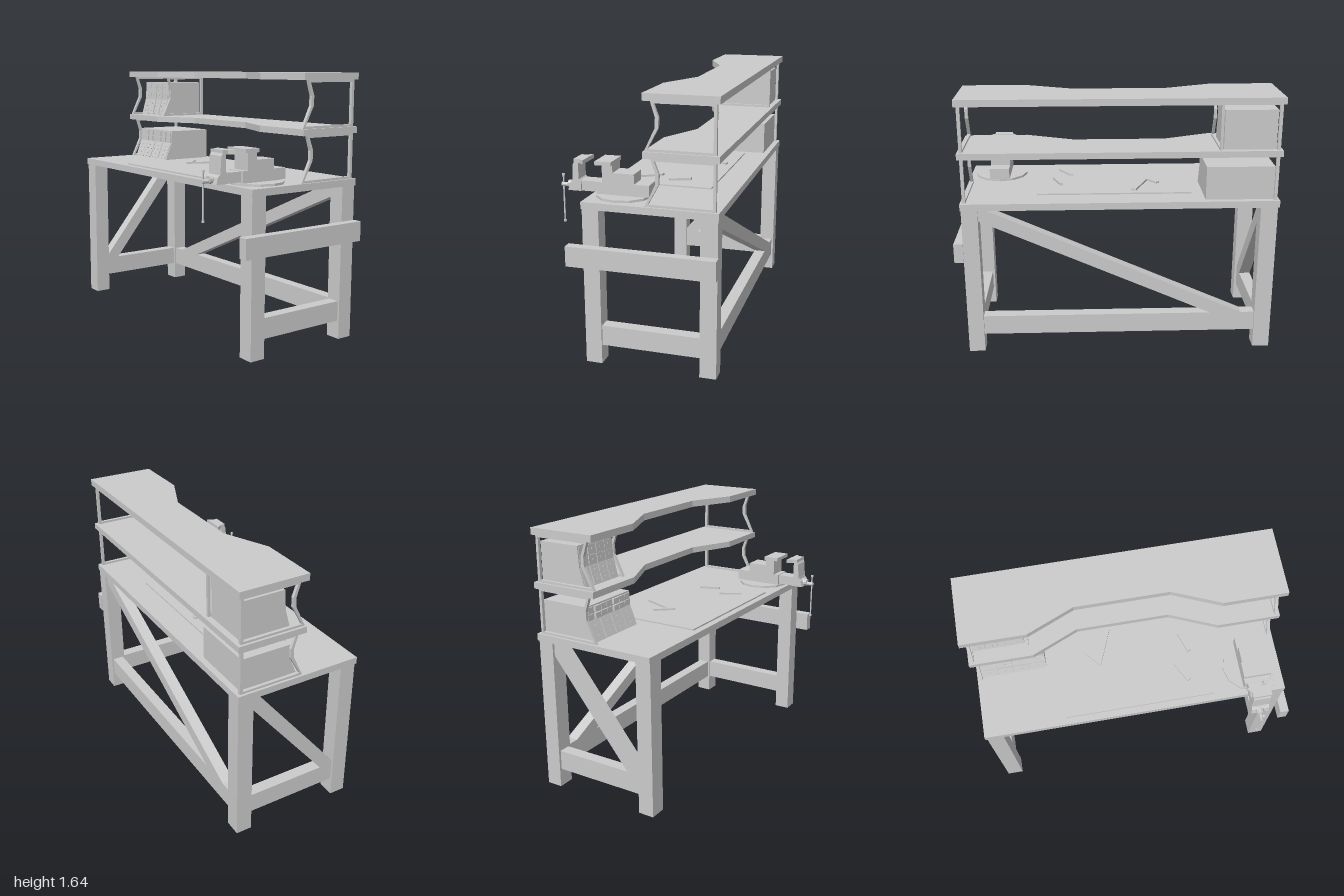
import * as THREE from 'three';

const material = new THREE.MeshStandardMaterial({ color: 0xcccccc, flatShading: true });

function add(parent, name, geometry) {
  const mesh = new THREE.Mesh(geometry, material);
  mesh.name = name;
  parent.add(mesh);
  return mesh;
}

// box given by its limits on each axis
function box(parent, name, [x0, x1], [y0, y1], [z0, z1]) {
  const mesh = add(parent, name, new THREE.BoxGeometry(x1 - x0, y1 - y0, z1 - z0));
  mesh.position.set((x0 + x1) / 2, (y0 + y1) / 2, (z0 + z1) / 2);
  return mesh;
}

const toShape = (pts) => new THREE.Shape(pts.map(([a, b]) => new THREE.Vector2(a, b)));

function extrude(pts, depth, hole) {
  const shape = toShape(pts);
  if (hole) shape.holes.push(toShape(hole));
  return new THREE.ExtrudeGeometry(shape, { depth, bevelEnabled: false });
}

// [z, y] outline extruded along x
function sideProfile(parent, name, pts, x0, x1, hole) {
  const g = extrude(pts, x1 - x0, hole).rotateY(-Math.PI / 2).translate(x1, 0, 0);
  return add(parent, name, g);
}

// [x, z] outline extruded upward
function planProfile(parent, name, pts, y0, y1) {
  const g = extrude(pts, y1 - y0).rotateX(Math.PI / 2).translate(0, y1, 0);
  return add(parent, name, g);
}

// bent shelf support: closed frame with a kinked front bar
function shelfFrame(parent, x0, x1, y0, y1, shift = 0) {
  const bends = [[0, -0.085], [0.47, -0.148], [0.68, -0.15], [1, -0.122]];
  const at = (f) => y0 + f * (y1 - y0);
  const outer = bends.map(([f, z]) => [z + 0.01 + shift, at(f)]);
  const inner = bends.map(([f, z]) => [z - 0.01 + shift, at(Math.min(0.95, Math.max(0.05, f)))]);
  sideProfile(parent, 'shelfFrame', [...outer, [-0.485, y1], [-0.485, y0]], x0, x1,
    [...inner, [-0.467, at(0.95)], [-0.467, at(0.05)]]);
}

// grid of shallow fronts on a sloping face between two [z, y] points
function drawerFronts(parent, low, high, x0, x1, rows, cols, thick, knobs) {
  const face = new THREE.Group();
  face.name = 'drawerFronts';
  const length = Math.hypot(high[0] - low[0], high[1] - low[1]);
  face.position.set(0, low[1], low[0]);
  face.rotation.x = Math.atan2(high[0] - low[0], high[1] - low[1]);
  const w = (x1 - x0) / cols, h = length / rows;
  for (let r = 0; r < rows; r++) {
    for (let c = 0; c < cols; c++) {
      const x = x0 + c * w, y = r * h;
      const t = thick * (1 + ((r * 3 + c * 2) % 3) * 0.5);
      box(face, 'drawerFront', [x + 0.004, x + w - 0.004], [y + 0.004, y + h - 0.004], [-0.004, t]);
      if (knobs) box(face, 'drawerKnob', [x + w / 2 - 0.006, x + w / 2 + 0.006], [y + h / 2 - 0.004, y + h / 2 + 0.004], [0, t + 0.006]);
    }
  }
  parent.add(face);
}

function buildBench(root) {
  const bench = new THREE.Group();
  bench.name = 'bench';
  root.add(bench);
  box(bench, 'worktop', [-1, 0.947], [0.957, 1], [-0.505, 0.305]);
  for (const x of [[-0.99, -0.885], [0.842, 0.942]]) {
    for (const z of [[-0.5, -0.4], [0.2, 0.3]]) box(bench, 'leg', x, [0, 0.957], z);
    const mid = (x[0] + x[1]) / 2;
    box(bench, 'sideRail', [mid - 0.037, mid + 0.037], [0.115, 0.24], [-0.4, 0.2]);
  }
  box(bench, 'backRail', [-0.885, 0.842], [0.115, 0.24], [-0.487, -0.413]);
  // diagonal braces
  add(bench, 'backBrace', extrude(
    [[-0.8, 0.24], [-0.6, 0.24], [0.842, 0.885], [0.842, 0.957], [0.8, 0.957]], 0.074).translate(0, 0, -0.487));
  sideProfile(bench, 'sideBrace',
    [[0.2, 0.24], [0.11, 0.24], [-0.4, 0.87], [-0.4, 0.957], [-0.365, 0.957], [0.2, 0.26]], -0.975, -0.9);
  box(bench, 'sidePlank', [0.942, 1], [0.62, 0.742], [-0.505, 0.388]);
}

function buildShelves(root) {
  const shelves = new THREE.Group();
  shelves.name = 'shelves';
  root.add(shelves);
  const outline = [[-1, -0.505], [0.947, -0.505], [0.947, -0.07], [0.555, -0.07],
    [0.26, -0.195], [-0.315, -0.195], [-0.605, -0.07], [-1, -0.07]];
  planProfile(shelves, 'lowerShelf', outline, 1.277, 1.316);
  planProfile(shelves, 'upperShelf', outline, 1.596, 1.638);
  for (const [y0, y1] of [[1, 1.277], [1.316, 1.596]]) {
    shelfFrame(shelves, -0.985, -0.965, y0, y1);
    shelfFrame(shelves, 0.913, 0.933, y0, y1);
  }
  shelfFrame(shelves, -0.637, -0.62, 1.316, 1.596, -0.055);

  // drawer cabinets
  sideProfile(shelves, 'lowerCabinet',
    [[-0.102, 1], [-0.15, 1.12], [-0.155, 1.208], [-0.467, 1.208], [-0.467, 1]], -0.965, -0.548);
  drawerFronts(shelves, [-0.102, 1.003], [-0.15, 1.12], -0.96, -0.553, 2, 4, 0.003, true);
  drawerFronts(shelves, [-0.15, 1.12], [-0.155, 1.203], -0.96, -0.553, 2, 7, 0.008, false);
  sideProfile(shelves, 'upperCabinet',
    [[-0.158, 1.316], [-0.19, 1.43], [-0.2, 1.558], [-0.467, 1.558], [-0.467, 1.316]], -0.963, -0.645);
  drawerFronts(shelves, [-0.158, 1.32], [-0.19, 1.43], -0.958, -0.65, 2, 4, 0.003, true);
  drawerFronts(shelves, [-0.19, 1.43], [-0.2, 1.553], -0.958, -0.65, 2, 4, 0.003, true);
}

function buildVise(root) {
  const vise = new THREE.Group();
  vise.name = 'vise';
  root.add(vise);
  add(vise, 'turntable', new THREE.CylinderGeometry(0.168, 0.168, 0.014, 12)).position.set(0.745, 1.007, 0.112);
  // fixed jaw with stepped body
  sideProfile(vise, 'viseBody', [[-0.06, 1.018], [-0.06, 1.085], [0.03, 1.085], [0.03, 1.145], [0.16, 1.145],
    [0.16, 1.19], [0.225, 1.19], [0.225, 1.085], [0.26, 1.085], [0.26, 1.014], [0, 1.014]], 0.682, 0.808);
  box(vise, 'fixedJaw', [0.66, 0.832], [1.19, 1.213], [0.16, 0.26]);
  box(vise, 'slideBar', [0.7, 0.79], [1.02, 1.082], [0.2, 0.42]);
  // moving jaw
  sideProfile(vise, 'movingJaw', [[0.38, 1.02], [0.442, 1.02], [0.432, 1.06], [0.415, 1.08], [0.408, 1.18],
    [0.39, 1.213], [0.375, 1.213], [0.375, 1.09], [0.36, 1.075], [0.36, 1.02]], 0.69, 0.8);
  planProfile(vise, 'movingJawLip', [[0.66, 0.333], [0.832, 0.333], [0.805, 0.365], [0.805, 0.4],
    [0.687, 0.4], [0.687, 0.365]], 1.188, 1.213);
  // screw and hanging handle
  const tube = (name, r, len, y, z, along) => {
    const mesh = add(vise, name, new THREE.CylinderGeometry(r, r, len, 10));
    mesh.position.set(0.745, y, z);
    if (along) mesh.rotation.x = Math.PI / 2;
  };
  tube('screwCollar', 0.024, 0.04, 1.045, 0.44, true);
  tube('screw', 0.013, 0.07, 1.038, 0.47, true);
  tube('handle', 0.005, 0.29, 0.953, 0.495, false);
  tube('handleEnd', 0.009, 0.012, 0.81, 0.495, false);
  tube('handleEnd', 0.009, 0.012, 1.097, 0.495, false);
}

function buildTools(root) {
  const tools = new THREE.Group();
  tools.name = 'tools';
  root.add(tools);
  box(tools, 'workMat', [-0.475, 0.487], [1, 1.009], [-0.345, 0.262]);
  planProfile(tools, 'square', [[-0.29, -0.15], [-0.268, -0.168], [-0.215, -0.1], [-0.13, -0.305],
    [-0.1, -0.295], [-0.2, -0.045]], 1.009, 1.021);
  planProfile(tools, 'pencil', [[0.33, -0.18], [0.35, -0.18], [0.397, -0.055], [0.375, -0.045]], 1.009, 1.024);
  planProfile(tools, 'chisel', [[0.265, 0.018], [0.29, 0.022], [0.363, 0.138], [0.335, 0.153]], 1.009, 1.021);
}

export function createModel() {
  const root = new THREE.Group();
  root.name = 'workbench';
  buildBench(root);
  buildShelves(root);
  buildVise(root);
  buildTools(root);
  return root;
}
